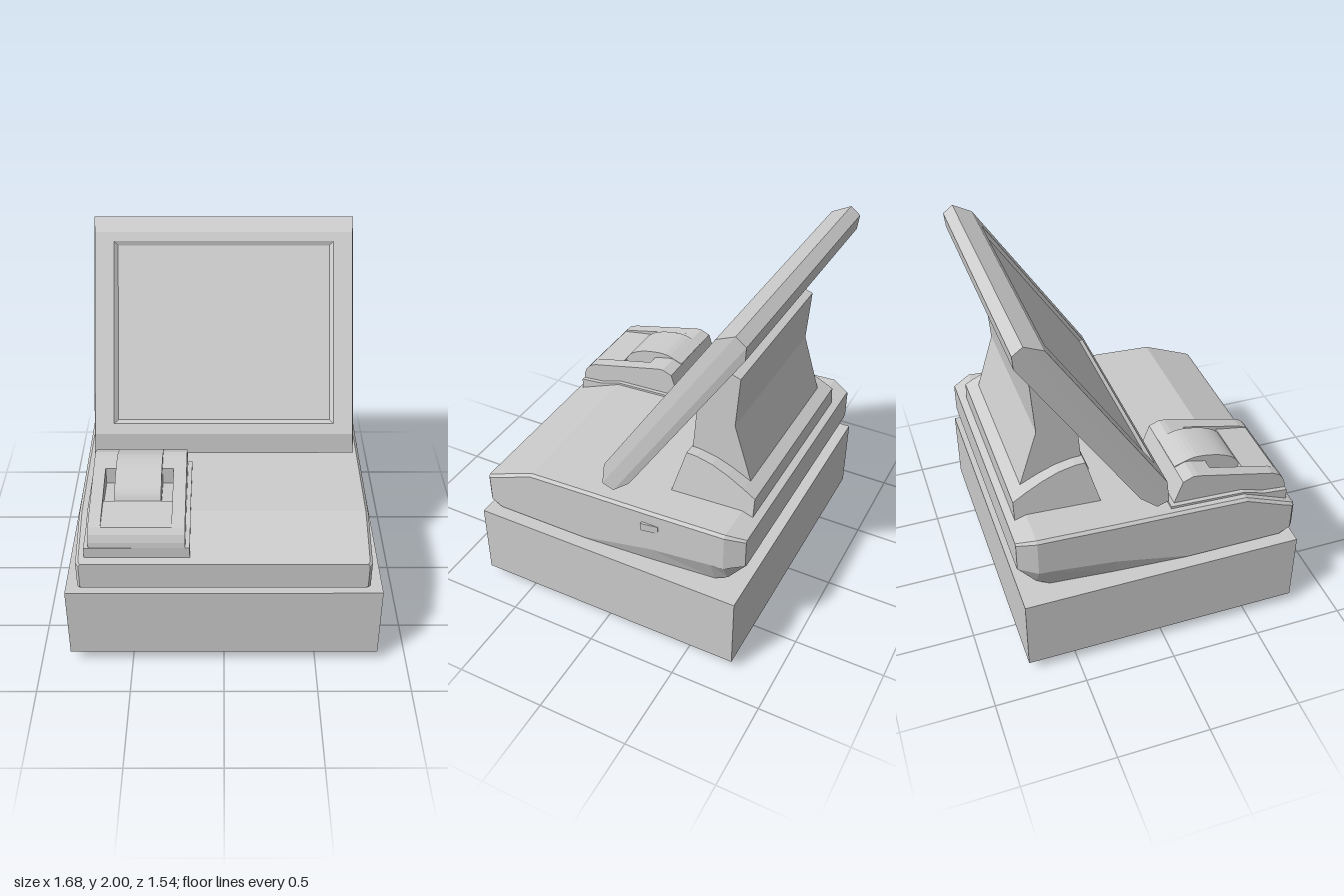
import * as THREE from 'three';

const material = new THREE.MeshStandardMaterial({ color: 0xcccccc, flatShading: true });
const smoothMaterial = new THREE.MeshStandardMaterial({ color: 0xcccccc });

function part(parent, name, geometry, mat = material) {
  const mesh = new THREE.Mesh(geometry, mat);
  mesh.name = name;
  parent.add(mesh);
  return mesh;
}

// Side profile of [z, y] points, extruded across x0..x1
function across(profile, x0, x1) {
  const shape = new THREE.Shape(profile.map(([z, y]) => new THREE.Vector2(z, y)));
  return new THREE.ExtrudeGeometry(shape, { depth: x1 - x0, bevelEnabled: false })
    .rotateY(-Math.PI / 2)
    .translate(x1, 0, 0);
}

// Skin over convex rings, counterclockwise from +z and ordered back to front
function loft(rings) {
  const position = [];
  const tri = (...corners) => corners.forEach((c) => position.push(...c));
  const count = rings[0].length;
  for (let r = 0; r < rings.length - 1; r++) {
    const a = rings[r], b = rings[r + 1];
    for (let i = 0; i < count; i++) {
      const j = (i + 1) % count;
      tri(a[i], a[j], b[j]);
      tri(a[i], b[j], b[i]);
    }
  }
  const first = rings[0], last = rings[rings.length - 1];
  for (let i = 1; i < count - 1; i++) {
    tri(first[0], first[i + 1], first[i]);
    tri(last[0], last[i], last[i + 1]);
  }
  const geometry = new THREE.BufferGeometry();
  geometry.setAttribute('position', new THREE.Float32BufferAttribute(position, 3));
  geometry.computeVertexNormals();
  return geometry;
}

// Cash drawer on four tapered feet
function addDrawer(model) {
  part(model, 'cashDrawer', new THREE.BoxGeometry(1.68, 0.425, 1.54)).position.y = 0.2775;
  for (const x of [-0.66, 0.66]) {
    for (const z of [-0.6, 0.6]) {
      part(model, 'foot', new THREE.CylinderGeometry(0.062, 0.05, 0.067, 24), smoothMaterial)
        .position.set(x, 0.0335, z);
    }
  }
}

// Wedge-shaped housing with chamfered rear corners and a tapering underside
function addHousing(model) {
  // z, bottom y, bottom half width, lower side y, half width, upper side y, top y, top half width
  const sections = [
    [-0.77, 0.65, 0.70, 0.66, 0.72, 0.82, 0.83, 0.71],
    [-0.67, 0.52, 0.70, 0.64, 0.77, 0.845, 0.86, 0.755],
    [-0.60, 0.49, 0.71, 0.635, 0.77, 0.842, 0.857, 0.755],
    [-0.25, 0.49, 0.74, 0.59, 0.77, 0.825, 0.84, 0.755],
    [0.15, 0.49, 0.765, 0.50, 0.77, 0.81, 0.825, 0.755],
    [0.48, 0.49, 0.765, 0.50, 0.77, 0.795, 0.81, 0.755],
    [0.70, 0.49, 0.765, 0.50, 0.77, 0.705, 0.72, 0.755],
    [0.755, 0.52, 0.76, 0.53, 0.77, 0.685, 0.697, 0.755],
    [0.77, 0.53, 0.745, 0.54, 0.755, 0.675, 0.688, 0.745],
  ];
  part(model, 'housing', loft(sections.map(([z, b, wb, s, w, u, t, wt]) => [
    [-wb, b, z], [wb, b, z], [w, s, z], [w, u, z],
    [wt, t, z], [-wt, t, z], [-w, u, z], [-w, s, z],
  ])));
  // Card-like wedge latch on the left flank
  part(model, 'sideLatch', loft([
    [-0.30, 0.772], [-0.215, 0.785], [-0.205, 0.785],
  ].map(([z, x]) => [[0.75, 0.72, z], [x, 0.72, z], [x, 0.765, z], [0.75, 0.765, z]])));
}

// Pedestal and neck holding the screen
function addStand(model) {
  const outline = [
    [-0.26, 0.82], [-0.335, 1.09], [-0.39, 1.088], [-0.48, 1.07],
    [-0.57, 1.035], [-0.66, 0.99], [-0.73, 0.95], [-0.73, 0.82],
  ];
  const pedestal = across(outline, -0.56, 0.56);
  // Sides lean in slightly towards the top
  const p = pedestal.attributes.position;
  for (let i = 0; i < p.count; i++) {
    p.setX(i, p.getX(i) * (1 - 0.25 * (p.getY(i) - 0.82)));
  }
  part(model, 'pedestal', pedestal);
  part(model, 'neck', across([
    [-0.30, 1.0], [-0.34, 1.09], [-0.36, 1.34], [-0.53, 1.605],
    [-0.59, 1.585], [-0.57, 1.30], [-0.67, 0.98], [-0.67, 0.93], [-0.30, 0.93],
  ], -0.46, 0.46));
}

// Tilted touch screen: bevelled slab with a recessed panel
function addScreen(model) {
  // depth, lower edge, upper edge, half width
  const rings = [
    [0.424, 0.843, 1.97, 0.715],
    [0.460, 0.735, 2.038, 0.725],
    [0.527, 0.719, 2.043, 0.725],
    [0.585, 0.826, 1.947, 0.715],
    [0.585, 0.883, 1.896, 0.61],
    [0.568, 0.905, 1.874, 0.588],
  ];
  part(model, 'screen', loft(rings.map(([n, lo, hi, w]) => [
    [-w, lo, n], [w, lo, n], [w, hi, n], [-w, hi, n],
  ]))).rotation.x = -0.576;
}

// Receipt printer set into the housing top
function addPrinter(model) {
  const printer = new THREE.Group();
  printer.name = 'receiptPrinter';
  model.add(printer);

  part(printer, 'printerCollar', across([
    [0.735, 0.69], [0.735, 0.768], [0.60, 0.782], [0.48, 0.822],
    [0.065, 0.842], [0.065, 0.80], [0.48, 0.78],
  ], -0.725, -0.177));

  const front = [[0.73, 0.69], [0.735, 0.76], [0.73, 0.80], [0.715, 0.84], [0.69, 0.868]];
  const back = [[0.22, 0.99], [0.19, 0.992], [0.135, 0.97], [0.085, 0.83], [0.085, 0.79], [0.48, 0.77]];
  const cheek = [...front, [0.65, 0.887], ...back];
  part(printer, 'printerCheek', across(cheek, -0.70, -0.635));
  part(printer, 'printerCheek', across(cheek, -0.27, -0.20));
  // Middle is lowered to form the paper well
  part(printer, 'printerWell', across([
    ...front, [0.51, 0.90], [0.50, 0.87], [0.31, 0.87], [0.31, 0.968], ...back,
  ], -0.635, -0.27));

  // Curved paper cover
  const curve = new THREE.CatmullRomCurve3([
    [0.51, 0.895], [0.485, 0.935], [0.43, 0.972], [0.34, 1.0], [0.24, 1.008], [0.135, 0.975],
  ].map(([z, y]) => new THREE.Vector3(z, y, 0)));
  const arc = curve.getPoints(20).map((v) => [v.x, v.y]);
  part(printer, 'paperCover', across([...arc, [0.16, 0.86], [0.51, 0.86]], -0.575, -0.33), smoothMaterial);
}

export function createModel() {
  const model = new THREE.Group();
  model.name = 'cashRegister';
  addDrawer(model);
  addHousing(model);
  addStand(model);
  addScreen(model);
  addPrinter(model);
  return model;
}
